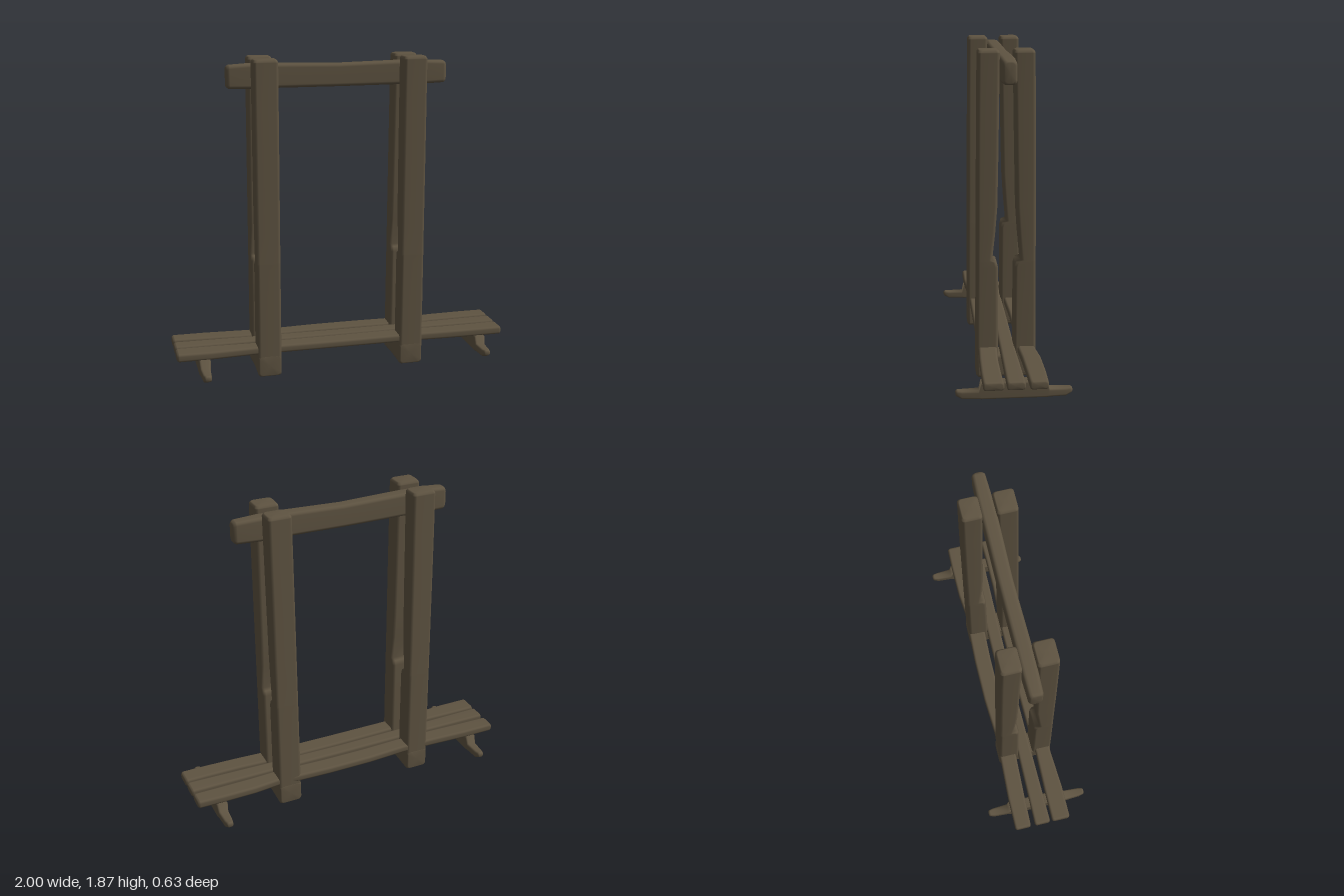
import * as THREE from 'three';

const wood = new THREE.MeshStandardMaterial({ color: 0x5e5341 });
wood.name = 'weatheredWood';

// Ring of a rounded rectangle, counter-clockwise in (u, v)
function ring(u0, u1, v0, v1, r) {
  const pts = [];
  const corners = [[u1 - r, v1 - r], [u0 + r, v1 - r], [u0 + r, v0 + r], [u1 - r, v0 + r]];
  corners.forEach(([u, v], c) => {
    for (let k = 0; k <= 3; k++) {
      const a = (c + k / 3) * Math.PI / 2;
      pts.push([u + Math.cos(a) * r, v + Math.sin(a) * r]);
    }
  });
  return pts;
}

// Worn timber: rounded sections [t, u0, u1, v0, v1] swept along an axis, with softened ends.
// (t, u, v) is (x, y, z), (y, z, x) or (z, x, y).
function timber(name, axis, stations, r) {
  const first = stations[0], last = stations[stations.length - 1];
  const soften = (s, dir) => [0.3, 0.75, 1].map((f) => {
    const inset = r * (1 - Math.sqrt(1 - (1 - f) * (1 - f)));
    return [s[0] + dir * r * f, s[1] + inset, s[2] - inset, s[3] + inset, s[4] - inset];
  });
  const tip = (s, dir) => {
    const i = r * 0.6;
    return [s[0] + dir * 0.0005, s[1] + i, s[2] - i, s[3] + i, s[4] - i];
  };
  const all = [tip(first, 0), ...soften(first, 1), ...stations.slice(1, -1),
    ...soften(last, -1).reverse(), tip(last, 0)];

  const pos = [], index = [], n = 16;
  const add = (t, u, v) => {
    const p = axis === 'x' ? [t, u, v] : axis === 'y' ? [v, t, u] : [u, v, t];
    pos.push(...p);
  };
  for (const [t, u0, u1, v0, v1] of all) {
    const rad = Math.min(r, (u1 - u0) * 0.45, (v1 - v0) * 0.45);
    ring(u0, u1, v0, v1, rad).forEach(([u, v]) => add(t, u, v));
  }
  for (let i = 0; i < all.length - 1; i++) {
    for (let j = 0; j < n; j++) {
      const a = i * n + j, b = i * n + (j + 1) % n;
      index.push(a, b, b + n, a, b + n, a + n);
    }
  }
  // End caps
  const top = (all.length - 1) * n, c = all.length * n;
  for (const s of [all[0], all[all.length - 1]]) add(s[0], (s[1] + s[2]) / 2, (s[3] + s[4]) / 2);
  for (let j = 0; j < n; j++) {
    const k = (j + 1) % n;
    index.push(c, k, j, c + 1, top + j, top + k);
  }
  const g = new THREE.BufferGeometry();
  g.setAttribute('position', new THREE.Float32BufferAttribute(pos, 3));
  g.setIndex(index);
  g.computeVertexNormals();
  const mesh = new THREE.Mesh(g, wood);
  mesh.name = name;
  return mesh;
}

export function createModel() {
  const model = new THREE.Group();
  model.name = 'timberFrame';

  // Posts: x range at the bottom and the top of each pair
  const sides = [
    { name: 'right', bottom: [-0.525, -0.385], top: [-0.52, -0.378], foot: -0.84 },
    { name: 'left', bottom: [0.342, 0.485], top: [0.355, 0.494], foot: 0.857 },
  ];
  // Height, inner face and outer face; the inner face is cut back above the lower step
  const frontPost = [[0.01, 0.052, 0.176], [0.35, 0.052, 0.175], [0.655, 0.052, 0.172], [0.685, 0.06, 0.172],
    [0.695, 0.085, 0.172], [0.85, 0.068, 0.17], [1, 0.056, 0.169], [1.3, 0.05, 0.167], [1.6, 0.046, 0.164], [1.865, 0.042, 0.161]];
  const backPost = [[0.01, 0.038, 0.163], [0.35, 0.038, 0.162], [0.655, 0.04, 0.16], [0.685, 0.048, 0.16],
    [0.695, 0.076, 0.16], [0.85, 0.062, 0.159], [1, 0.052, 0.158], [1.3, 0.046, 0.156], [1.6, 0.041, 0.153], [1.865, 0.036, 0.15]];

  for (const s of sides) {
    const xAt = (y, i) => THREE.MathUtils.lerp(s.bottom[i], s.top[i], y / 1.865);
    const post = (name, rows, sign) => timber(name, 'y', rows.map(([y, a, b]) => [
      y, sign > 0 ? a : -b, sign > 0 ? b : -a, xAt(y, 0), xAt(y, 1)]), 0.018);
    model.add(post(s.name + 'FrontPost', frontPost, 1));
    model.add(post(s.name + 'BackPost', backPost, -1));

    // Ground block joining the two posts
    const [x0, x1] = s.bottom;
    model.add(timber(s.name + 'BaseBlock', 'z', [
      [-0.165, x0, x1, 0, 0.135], [0, x0 + 0.003, x1 - 0.003, 0.002, 0.135], [0.177, x0, x1, 0, 0.135]], 0.018));

    // Bench foot: long thin toes with a raised middle under the planks
    const f = s.foot;
    model.add(timber(s.name + 'BenchFoot', 'z', [
      [-0.315, f - 0.02, f + 0.02, 0.058, 0.094], [-0.28, f - 0.025, f + 0.025, 0.046, 0.092],
      [-0.19, f - 0.03, f + 0.03, 0.045, 0.094], [-0.175, f - 0.034, f + 0.034, 0.045, 0.142],
      [0.178, f - 0.034, f + 0.034, 0.045, 0.142], [0.19, f - 0.03, f + 0.03, 0.045, 0.094],
      [0.28, f - 0.025, f + 0.025, 0.046, 0.092], [0.315, f - 0.02, f + 0.02, 0.058, 0.094]], 0.012));
  }

  // Top beam resting between the post pairs
  model.add(timber('topBeam', 'x', [
    [-0.655, 1.692, 1.826, -0.036, 0.042], [-0.53, 1.69, 1.832, -0.04, 0.044], [-0.37, 1.692, 1.83, -0.04, 0.046],
    [0, 1.69, 1.822, -0.042, 0.04], [0.34, 1.692, 1.83, -0.04, 0.046], [0.5, 1.69, 1.83, -0.04, 0.044],
    [0.65, 1.695, 1.824, -0.036, 0.04]], 0.02));

  // Bench planks: x, z start, z end
  const planks = {
    backPlank: [[-1, -0.175, -0.075], [-0.8, -0.175, -0.07], [-0.55, -0.163, -0.06], [-0.36, -0.158, -0.06],
      [-0.12, -0.172, -0.067], [0.15, -0.173, -0.067], [0.37, -0.165, -0.06], [0.48, -0.155, -0.058],
      [0.64, -0.172, -0.066], [0.85, -0.175, -0.07], [1, -0.172, -0.072]],
    middlePlank: [[-1, -0.048, 0.05], [-0.5, -0.043, 0.043], [0, -0.044, 0.038], [0.5, -0.043, 0.043], [1, -0.05, 0.05]],
    frontPlank: [[-1, 0.064, 0.178], [-0.8, 0.064, 0.178], [-0.55, 0.07, 0.164], [-0.36, 0.06, 0.162],
      [0, 0.054, 0.163], [0.33, 0.052, 0.163], [0.5, 0.06, 0.165], [0.65, 0.068, 0.172], [0.85, 0.068, 0.176], [1, 0.064, 0.175]],
  };
  for (const [name, rows] of Object.entries(planks)) {
    model.add(timber(name, 'x', rows.map(([x, z0, z1]) => [x, 0.138, 0.187 - 0.004 * (1 - Math.abs(x)), z0, z1]), 0.014));
  }
  return model;
}
